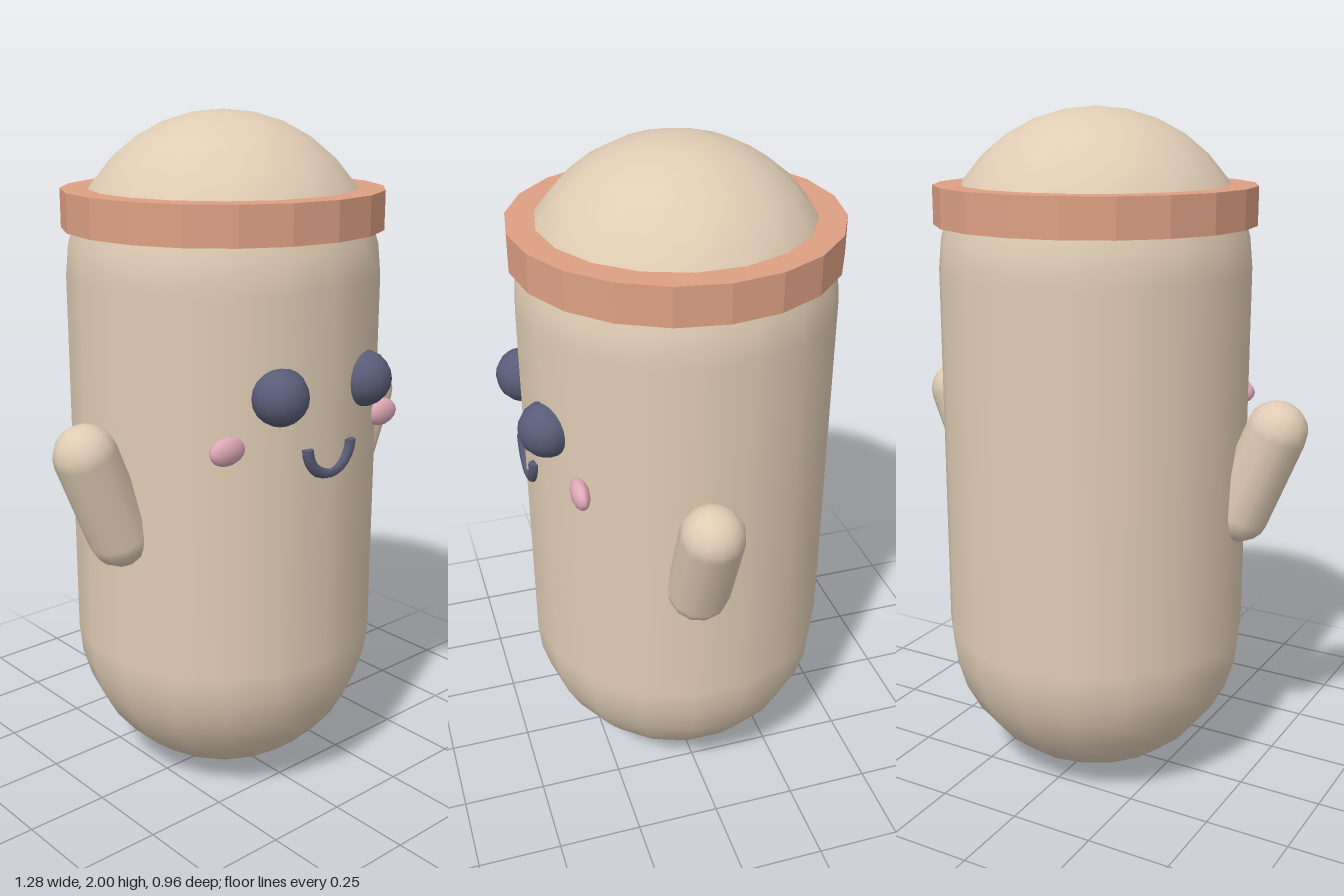
import * as THREE from 'three';

const mat = (name, color) => {
  const m = new THREE.MeshStandardMaterial({ color });
  m.name = name;
  return m;
};

export function createModel() {
  const group = new THREE.Group();
  const cream = mat('cream', 0xdfccb4);
  const clay = mat('clay', 0xdea084);
  const navy = mat('navy', 0x5a5c78);
  const pink = mat('pink', 0xe0aab8);

  const add = (name, geometry, material, x, y, z) => {
    const mesh = new THREE.Mesh(geometry, material);
    mesh.name = name;
    mesh.position.set(x, y, z);
    group.add(mesh);
    return mesh;
  };

  const bodyZ = -0.018;

  // Capsule body, with a corner of its 18 sides facing the front
  const body = new THREE.CapsuleGeometry(0.455, 1.088, 8, 18).rotateY(Math.PI / 2);
  add('body', body, cream, 0, 1.001, bodyZ);

  // Faceted headband
  const band = new THREE.CylinderGeometry(0.464, 0.464, 0.11, 20).toNonIndexed();
  band.computeVertexNormals();
  add('headband', band, clay, 0, 1.73, bodyZ);

  // Smile: lower half of a ring, with closed ends
  const smile = add('mouth', new THREE.TorusGeometry(0.082, 0.017, 8, 12, Math.PI), navy, 0, 1.12, 0.428);
  smile.rotation.z = Math.PI;

  // Paired parts
  const eye = new THREE.SphereGeometry(0.08, 14, 10);
  const cheek = new THREE.SphereGeometry(1, 12, 8).scale(0.06, 0.04, 0.026);
  const arm = new THREE.CapsuleGeometry(0.09, 0.275, 5, 12);
  const mouthEnd = new THREE.CircleGeometry(0.017, 8).rotateX(-Math.PI / 2);
  for (const [side, s] of [['left', 1], ['right', -1]]) {
    add(side + 'Eye', eye, navy, s * 0.161, 1.276, 0.4);
    add(side + 'Cheek', cheek, pink, s * 0.3, 1.14, 0.346);
    add(side + 'MouthEnd', mouthEnd, navy, s * 0.082, 1.12, 0.428);
    const limb = add(side + 'Arm', arm, cream, s * 0.498, 0.981, 0.05);
    limb.rotation.z = -s * 0.39;
  }
  return group;
}
